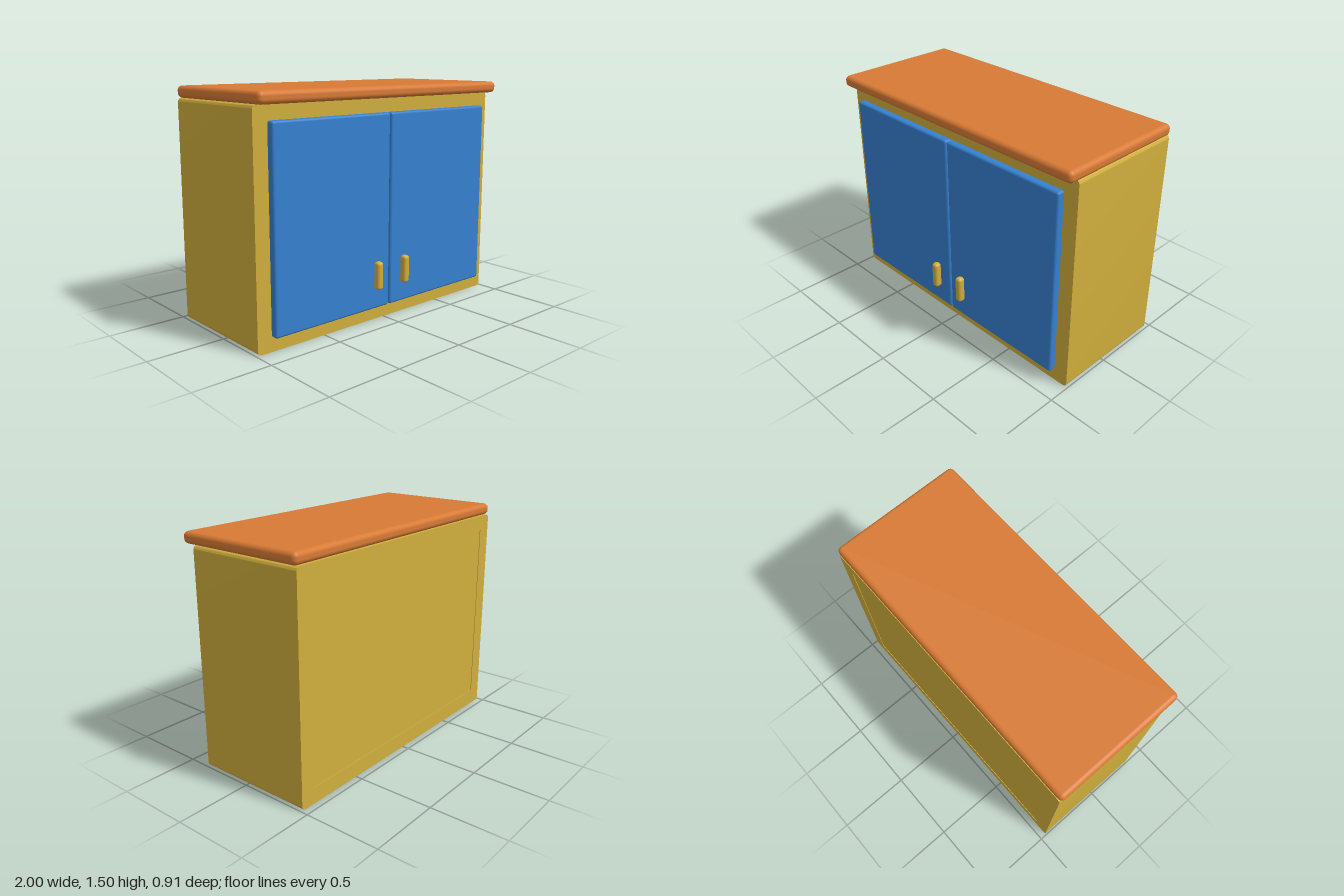
import * as THREE from 'three';
import { toCreasedNormals } from 'three/addons/utils/BufferGeometryUtils.js';
import { RoundedBoxGeometry } from 'three/addons/geometries/RoundedBoxGeometry.js';

const material = (name, color) => {
  const m = new THREE.MeshStandardMaterial({ color });
  m.name = name;
  return m;
};

// Rectangle outline with rounded corners
function roundedRect(path, x0, y0, x1, y1, r) {
  path.moveTo(x0 + r, y0);
  path.lineTo(x1 - r, y0);
  path.absarc(x1 - r, y0 + r, r, -Math.PI / 2, 0);
  path.lineTo(x1, y1 - r);
  path.absarc(x1 - r, y1 - r, r, 0, Math.PI / 2);
  path.lineTo(x0 + r, y1);
  path.absarc(x0 + r, y1 - r, r, Math.PI / 2, Math.PI);
  path.lineTo(x0, y0 + r);
  path.absarc(x0 + r, y0 + r, r, Math.PI, Math.PI * 1.5);
  return path;
}

export function createModel() {
  const group = new THREE.Group();
  group.name = 'cabinet';
  const yellow = material('yellow wood', 0xd0ae3c);
  const orange = material('orange wood', 0xd87a35);
  const blue = material('blue paint', 0x3580cf);

  const add = (name, geometry, mat) => {
    const mesh = new THREE.Mesh(geometry, mat);
    mesh.name = name;
    group.add(mesh);
  };
  // Rounded box given by its opposite corners
  const roundedBox = (name, a, b, radius, mat) => {
    const size = b.map((v, i) => v - a[i]);
    const geometry = new RoundedBoxGeometry(...size, 5, radius);
    geometry.translate(...a.map((v, i) => (v + b[i]) / 2));
    add(name, geometry, mat);
  };

  // Hollow carcass: four walls joined by rounded long edges
  const outline = roundedRect(new THREE.Shape(), -0.99, 0, 0.99, 1.43, 0.028);
  const opening = new THREE.Path();
  opening.moveTo(-0.89, 0.105);
  opening.lineTo(-0.89, 1.33);
  opening.lineTo(0.89, 1.33);
  opening.lineTo(0.89, 0.105);
  opening.closePath();
  outline.holes.push(opening);
  const carcass = new THREE.ExtrudeGeometry(outline, { depth: 0.81, bevelEnabled: false, curveSegments: 8 });
  carcass.translate(0, 0, -0.455);
  add('carcass', toCreasedNormals(carcass, 0.6), yellow);

  // Back panel, slightly recessed in the opening
  const back = new THREE.BoxGeometry(1.79, 1.235, 0.04);
  back.translate(0, 0.7175, -0.431);
  add('backPanel', back, yellow);

  // Overhanging worktop
  roundedBox('worktop', [-1, 1.43, -0.455], [1, 1.505, 0.438], 0.03, orange);

  // Pair of doors with upright handles
  for (const [side, s] of [['left', 1], ['right', -1]]) {
    const span = (a, b) => (s > 0 ? [a, b] : [-b, -a]);
    const [d0, d1] = span(0.004, 0.9);
    roundedBox(side + 'Door', [d0, 0.095, 0.355], [d1, 1.34, 0.411], 0.016, blue);
    const [h0, h1] = span(0.092, 0.142);
    roundedBox(side + 'Handle', [h0, 0.226, 0.405], [h1, 0.41, 0.457], 0.02, yellow);
  }
  return group;
}
